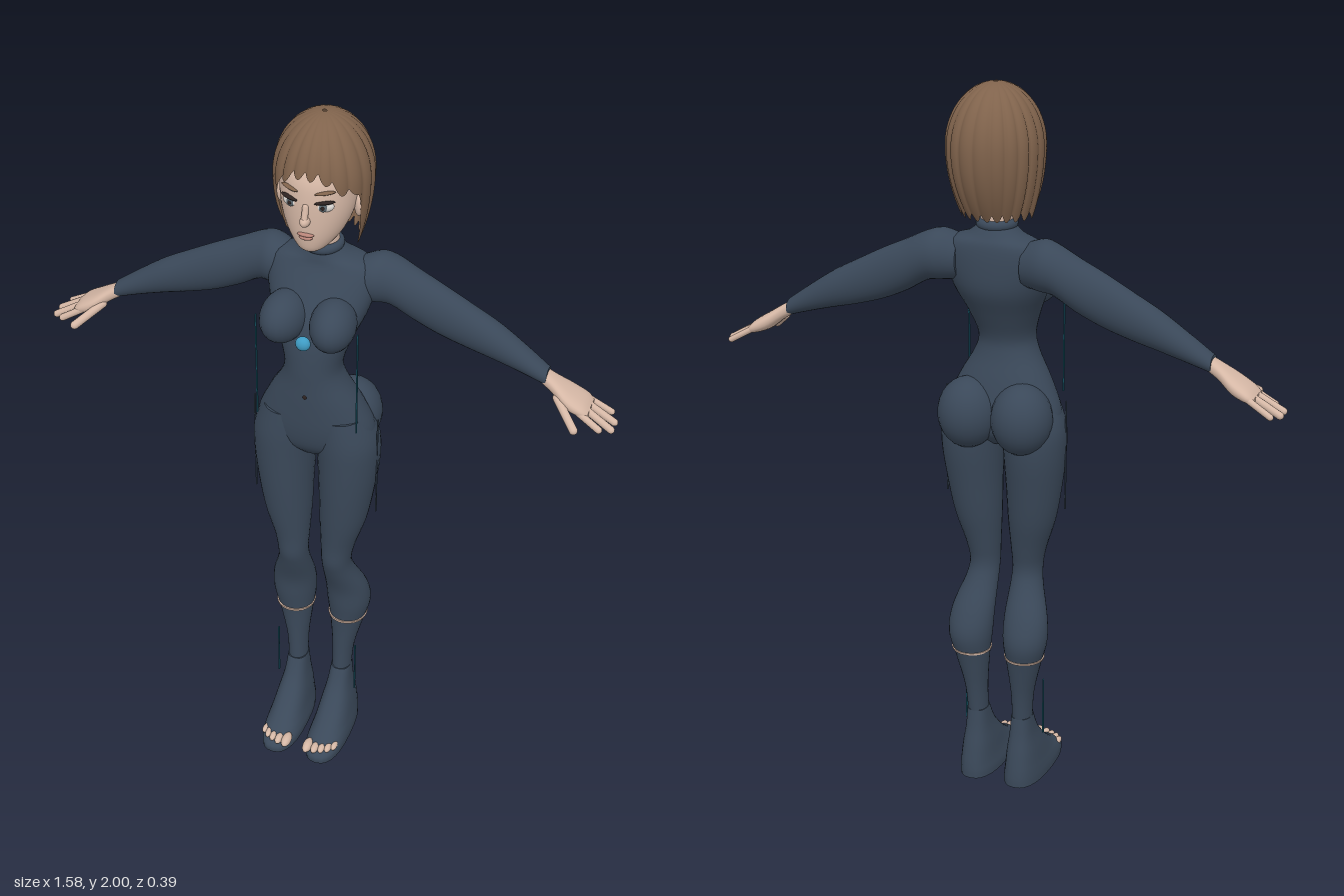
import * as THREE from 'three';

const mat = (name, color, side = THREE.FrontSide) => {
  const m = new THREE.MeshStandardMaterial({ color, side });
  m.name = name;
  return m;
};

// Interpolates key rows smoothly
function smoothRows(rows, steps) {
  const out = [];
  for (let i = 0; i < rows.length - 1; i++) {
    const p = [rows[Math.max(i - 1, 0)], rows[i], rows[i + 1], rows[Math.min(i + 2, rows.length - 1)]];
    for (let k = 0; k < steps; k++) {
      const t = k / steps;
      out.push(p[1].map((_, c) => {
        const [a, b, d, e] = p.map((r) => r[c]);
        return 0.5 * (2 * b + (d - a) * t + (2 * a - 5 * b + 4 * d - e) * t * t + (3 * b - a - 3 * d + e) * t * t * t);
      }));
    }
  }
  out.push(rows[rows.length - 1]);
  return out;
}

// Skin over rounded sections. Row, axis y: [y, x0, x1, z0, z1]; axis x: [x, y0, y1, z0, z1]; rows ascend.
function loft(keys, { axis = 'y', power = 2, seg = 28, steps = 4 } = {}) {
  const rows = smoothRows(keys, steps), pos = [], idx = [];
  const bend = (v) => Math.sign(v) * Math.pow(Math.abs(v), 2 / power);
  const put = (s, a, b) => (axis === 'y' ? pos.push(a, s, b) : pos.push(s, a, b));
  const tri = (a, b, c) => (axis === 'y' ? idx.push(a, b, c) : idx.push(a, c, b));
  const ring = ([s, a0, a1, b0, b1]) => {
    const start = pos.length / 3;
    for (let j = 0; j < seg; j++) {
      const q = (j / seg) * Math.PI * 2;
      put(s, (a0 + a1) / 2 + ((a1 - a0) / 2) * bend(Math.cos(q)), (b0 + b1) / 2 + ((b1 - b0) / 2) * bend(Math.sin(q)));
    }
    return start;
  };
  const starts = rows.map(ring);
  for (let i = 0; i < rows.length - 1; i++) {
    for (let j = 0; j < seg; j++) {
      const k = (j + 1) % seg, a = starts[i], b = starts[i + 1];
      tri(a + j, b + j, a + k);
      tri(a + k, b + j, b + k);
    }
  }
  [rows[0], rows[rows.length - 1]].forEach((r, end) => {
    const s = ring(r), c = pos.length / 3;
    put(r[0], (r[1] + r[2]) / 2, (r[3] + r[4]) / 2);
    for (let j = 0; j < seg; j++) {
      const k = (j + 1) % seg;
      if (end) tri(c, s + k, s + j); else tri(c, s + j, s + k);
    }
  });
  return build(pos, idx);
}

function build(pos, idx) {
  const g = new THREE.BufferGeometry();
  g.setAttribute('position', new THREE.Float32BufferAttribute(pos, 3));
  g.setIndex(idx);
  g.computeVertexNormals();
  return g;
}

const ball = (x, y, z, rx, ry, rz, turn = 0, roll = 0) =>
  new THREE.SphereGeometry(1, 24, 16).scale(rx, ry, rz).rotateZ(roll).rotateY(turn).translate(x, y, z);

// Rounded bar between two points
function bar(a, b, r) {
  const p = new THREE.Vector3(...a), d = new THREE.Vector3(...b).sub(p);
  const g = new THREE.CapsuleGeometry(r, d.length() - r, 6, 12);
  g.applyQuaternion(new THREE.Quaternion().setFromUnitVectors(new THREE.Vector3(0, 1, 0), d.clone().normalize()));
  return g.translate(...p.addScaledVector(d, 0.5).toArray());
}

function mirrored(geo) {
  const g = geo.clone().scale(-1, 1, 1), ix = g.index.array;
  for (let i = 0; i < ix.length; i += 3) [ix[i + 1], ix[i + 2]] = [ix[i + 2], ix[i + 1]];
  return g;
}

// Bob with grooved strands, short over the brow and long at sides and back
function hairGeometry() {
  const pos = [], idx = [], n = 180, m = 26;
  for (let i = 0; i <= m; i++) {
    const t = 0.02 + 0.98 * (i / m);
    for (let j = 0; j < n; j++) {
      const f = (j / n) * Math.PI * 2, away = Math.abs(f > Math.PI ? f - 2 * Math.PI : f);
      const strand = Math.abs(Math.sin(f * 10 + 0.5 + 0.5 * Math.sin(3 * f)));
      const front = 1.875 - 0.05 * THREE.MathUtils.smoothstep(away, 0.2, 0.9);
      const hem = THREE.MathUtils.lerp(front, 1.655, THREE.MathUtils.smoothstep(away, 1.05, 1.4)) + 0.022 * (1 - strand);
      const y = 2 - (2 - hem) * (1 - Math.cos((t * Math.PI) / 2));
      const up = Math.max(0, (y - 1.84) / 0.16), down = Math.max(0, (1.84 - y) / 0.185);
      const back = Math.max(0, -Math.cos(f));
      const r = Math.sqrt(Math.max(0, 1 - up * up)) * (1 - (0.24 + 0.2 * back) * down * down) * (0.95 + 0.06 * Math.sqrt(strand));
      pos.push(0.126 * r * Math.sin(f), y, -0.06 + 0.137 * r * Math.cos(f));
    }
  }
  for (let i = 0; i < m; i++) {
    for (let j = 0; j < n; j++) {
      const a = i * n + j, b = i * n + ((j + 1) % n);
      idx.push(a, a + n, b, b, a + n, b + n);
    }
  }
  return build(pos, idx);
}

export function createModel() {
  const model = new THREE.Group();
  model.name = 'standingWoman';
  const suit = mat('navySuit', 0x3a4859), skin = mat('skin', 0xd6b8a6);
  const hair = mat('brownHair', 0x80634c, THREE.DoubleSide), white = mat('eyeWhite', 0xdcd8d4);
  const iris = mat('greyIris', 0x5f6b72), dark = mat('darkLash', 0x2c2220);
  const lip = mat('lips', 0xb88478), gem = mat('blueGem', 0x3f9cc4), teal = mat('tealThread', 0x1b6478);

  const add = (name, geo, material) => {
    const mesh = new THREE.Mesh(geo, material);
    mesh.name = name;
    model.add(mesh);
  };
  const pair = (name, geo, material) => {
    add(name + 'Left', geo, material);
    add(name + 'Right', mirrored(geo), material);
  };

  // Torso: [height, half width, back, front]
  const wide = ([y, w, b, f]) => [y, -w, w, b, f];
  add('torso', loft([
    [1.02, 0.07, -0.05, 0.04], [1.06, 0.15, -0.09, 0.072], [1.12, 0.161, -0.095, 0.086], [1.2, 0.127, -0.08, 0.09],
    [1.27, 0.088, -0.06, 0.09], [1.32, 0.077, -0.058, 0.09], [1.39, 0.098, -0.09, 0.085], [1.46, 0.128, -0.125, 0.07],
    [1.53, 0.145, -0.132, 0.035], [1.585, 0.135, -0.128, 0.005], [1.61, 0.075, -0.115, -0.002], [1.635, 0.046, -0.1, -0.008],
  ].map(wide), { seg: 40, power: 2.1 }), suit);
  pair('breast', ball(0.066, 1.462, 0.056, 0.06, 0.068, 0.084, 0.1), suit);
  pair('buttock', ball(0.077, 1.11, -0.07, 0.083, 0.098, 0.085), suit);
  add('collar', new THREE.TorusGeometry(0.044, 0.011, 12, 32).rotateX(Math.PI / 2).scale(1, 1.2, 1.02).translate(0, 1.635, -0.053), suit);
  add('chestGem', ball(0, 1.417, 0.1, 0.02, 0.02, 0.016), gem);
  add('navel', ball(0, 1.24, 0.088, 0.006, 0.008, 0.004), dark);

  // Legs and flared feet
  pair('leg', loft([
    [0.19, 0.04, 0.095, -0.07, 0], [0.28, 0.039, 0.102, -0.08, -0.002], [0.38, 0.029, 0.126, -0.1, 0],
    [0.45, 0.02, 0.144, -0.113, 0.008], [0.52, 0.018, 0.139, -0.092, 0.015], [0.6, 0.021, 0.113, -0.05, 0.042],
    [0.65, 0.022, 0.106, -0.036, 0.057], [0.71, 0.019, 0.117, -0.046, 0.06], [0.8, 0.014, 0.145, -0.068, 0.07],
    [0.9, 0.011, 0.163, -0.085, 0.078], [1.0, 0.006, 0.175, -0.1, 0.083], [1.08, 0.002, 0.173, -0.1, 0.085],
    [1.16, 0.01, 0.142, -0.08, 0.08],
  ]), suit);
  pair('shinBand', loft([[0.396, 0.024, 0.134, -0.107, 0.006], [0.402, 0.023, 0.136, -0.108, 0.006]], { steps: 1 }), skin);
  pair('foot', loft([
    [0, 0.01, 0.125, -0.1, 0.195], [0.02, 0.01, 0.125, -0.1, 0.193], [0.04, 0.014, 0.122, -0.098, 0.162],
    [0.06, 0.018, 0.118, -0.095, 0.125], [0.1, 0.024, 0.111, -0.088, 0.075], [0.15, 0.033, 0.101, -0.078, 0.03],
    [0.205, 0.039, 0.096, -0.071, 0.001],
  ], { power: 2.5 }), suit);
  [[0.033, 0.166, 0.014], [0.056, 0.168, 0.011], [0.075, 0.163, 0.01], [0.092, 0.154, 0.01], [0.107, 0.142, 0.009]]
    .forEach(([x, z, r], i) => pair('toe' + (i + 1), ball(x, 0.034, z, r, r, r * 2), skin));

  // Arms
  pair('arm', loft([
    [0.09, 1.48, 1.595, -0.125, -0.015], [0.14, 1.475, 1.612, -0.145, -0.015], [0.18, 1.47, 1.604, -0.147, -0.028],
    [0.24, 1.435, 1.575, -0.141, -0.037], [0.31, 1.403, 1.542, -0.134, -0.042], [0.39, 1.378, 1.5, -0.131, -0.045],
    [0.46, 1.36, 1.462, -0.128, -0.046], [0.53, 1.34, 1.415, -0.119, -0.05], [0.6, 1.318, 1.365, -0.107, -0.053],
  ], { axis: 'x' }), suit);

  // Hands
  pair('palm', loft([
    [0.585, 1.325, 1.365, -0.102, -0.057], [0.62, 1.303, 1.345, -0.108, -0.047], [0.66, 1.272, 1.32, -0.124, -0.03],
    [0.7, 1.258, 1.295, -0.128, -0.031], [0.718, 1.257, 1.278, -0.118, -0.04],
  ], { axis: 'x', power: 2.4 }), skin);
  [
    [[0.63, 1.305, -0.052], [0.698, 1.252, 0.013], 0.0115], [[0.685, 1.28, -0.042], [0.755, 1.238, -0.032], 0.0095],
    [[0.695, 1.28, -0.066], [0.783, 1.23, -0.054], 0.01], [[0.695, 1.28, -0.092], [0.784, 1.23, -0.089], 0.01],
    [[0.69, 1.28, -0.116], [0.768, 1.236, -0.125], 0.0085],
  ].forEach(([a, b, r], i) => pair(i ? 'finger' + i : 'thumb', bar(a, b, r), skin));

  // Head and neck
  add('neck', new THREE.CylinderGeometry(0.042, 0.042, 0.14, 28).translate(0, 1.69, -0.055), skin);
  add('head', loft([
    [1.668, 0.022, 0.015, 0.058], [1.682, 0.045, -0.04, 0.07], [1.72, 0.074, -0.09, 0.077], [1.77, 0.093, -0.12, 0.079],
    [1.82, 0.1, -0.135, 0.077], [1.87, 0.1, -0.14, 0.067], [1.92, 0.085, -0.13, 0.035], [1.955, 0.045, -0.1, 0],
  ].map(wide), { seg: 40 }), skin);
  add('nose', ball(0, 1.768, 0.081, 0.013, 0.014, 0.019), skin);
  add('noseBridge', bar([0, 1.81, 0.074], [0, 1.772, 0.087], 0.0085), skin);
  pair('ear', ball(0.099, 1.775, -0.035, 0.012, 0.035, 0.022, 0.4), skin);
  add('upperLip', ball(0, 1.728, 0.077, 0.022, 0.0055, 0.008), lip);
  add('lowerLip', ball(0, 1.719, 0.076, 0.018, 0.006, 0.009), lip);
  pair('eyeball', ball(0.044, 1.807, 0.06, 0.023, 0.014, 0.012, 0.35), white);
  pair('iris', ball(0.043, 1.808, 0.07, 0.0105, 0.0115, 0.0045, 0.3), iris);
  pair('pupil', ball(0.043, 1.808, 0.0735, 0.005, 0.0055, 0.003, 0.3), dark);
  pair('lash', ball(0.046, 1.821, 0.067, 0.026, 0.004, 0.008, 0.4, 0.08), dark);
  pair('brow', ball(0.046, 1.846, 0.064, 0.026, 0.0045, 0.007, 0.4, 0.12), hair);
  add('hair', hairGeometry(), hair);

  // Loose threads at the ribs, thighs and ankles
  const thread = (x, y0, y1, z) => new THREE.BoxGeometry(0.003, y1 - y0, 0.006).translate(x, (y0 + y1) / 2, z);
  pair('ribThread', thread(0.138, 1.15, 1.46, 0.075), teal);
  pair('thighThread', thread(0.174, 0.84, 1.15, 0.004), suit);
  pair('ankleThread', thread(0.118, 0.14, 0.31, -0.004), teal);
  return model;
}
